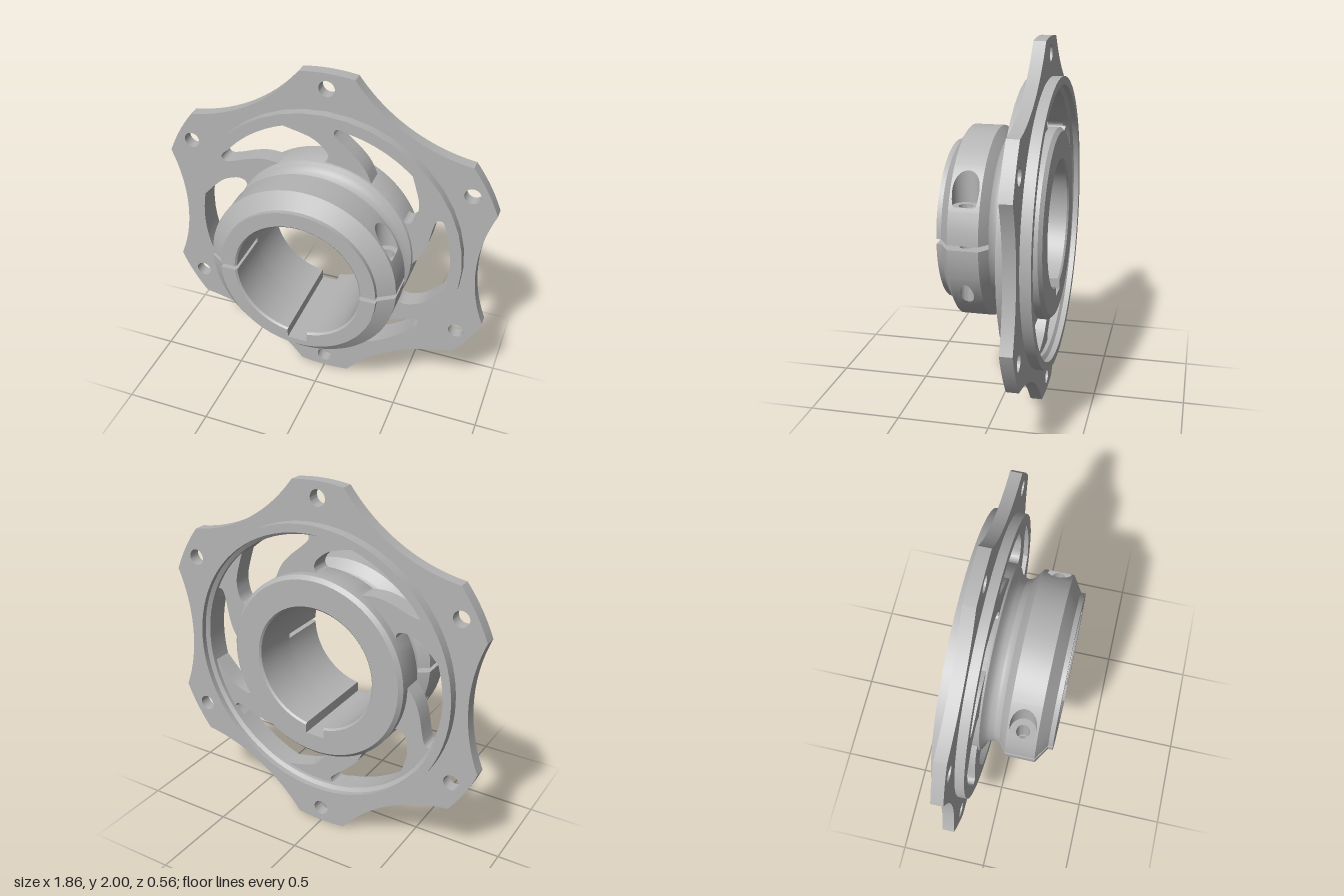
import * as THREE from 'three';
import { toCreasedNormals } from 'three/addons/utils/BufferGeometryUtils.js';

const RAD = Math.PI / 180;
const BORE = 0.345, KEY_X = 0.055, KEY_Y = 0.4, HUB_R = 0.52;
const SLIT = 0.013, BAND = [0.04, 0.2], PATCH = [20, 48];
const BOLT_X = 0.44, BOLT_Z = 0.12, FLOOR_Y = 0.2;

const v2 = (x, y) => new THREE.Vector2(x, y);

// angles in degrees, with extra stops at the keyway corners
function angleList(from, to) {
  const list = [];
  for (let a = from; a <= to; a += 4) list.push(a);
  const outer = Math.atan(KEY_X / KEY_Y) / RAD, inner = Math.asin(KEY_X / BORE) / RAD;
  for (const d of [outer, inner]) for (const s of [-1, 1]) {
    const a = 270 + s * d;
    if (a > from && a < to) list.push(a);
  }
  return list.sort((a, b) => a - b);
}

// radius of the bore, including the keyway at the bottom
function boreRadius(deg) {
  const d = Math.abs(deg - 270) * RAD;
  if (d > 1) return BORE;
  return Math.max(BORE, Math.min(KEY_Y / Math.cos(d), KEY_X / Math.max(Math.sin(d), 1e-6)));
}

// sweep a [radius, z] profile about z; half = +1 / -1 trims the ends to the slit
function sweep(profile, angles, half = 0) {
  const point = ([r, z], deg) => {
    const R = r < 0.37 ? Math.max(r, boreRadius(deg)) : r;
    let y = R * Math.sin(deg * RAD);
    if (half) y = half * Math.max(Math.abs(y), SLIT);
    return [R * Math.cos(deg * RAD), y, z];
  };
  const pos = [];
  for (let j = 0; j < angles.length - 1; j++) {
    const m = ((angles[j] + angles[j + 1]) / 2) % 180, fold = Math.min(m, 180 - m);
    for (let i = 0; i < profile.length - 1; i++) {
      const p = profile[i], q = profile[i + 1];
      const onBand = p[1] === BAND[0] && q[1] === BAND[1];
      if (half && onBand && fold > PATCH[0] && fold < PATCH[1]) continue;
      const a = point(p, angles[j]), b = point(p, angles[j + 1]);
      const c = point(q, angles[j + 1]), d = point(q, angles[j]);
      pos.push(...a, ...b, ...c, ...a, ...c, ...d);
    }
  }
  const g = new THREE.BufferGeometry();
  g.setAttribute('position', new THREE.Float32BufferAttribute(pos, 3));
  return toCreasedNormals(g, 0.5);
}

// wall between two loops of points
function wall(top, bottom) {
  const pos = [];
  top.forEach((a, i) => {
    const k = (i + 1) % top.length;
    pos.push(...a, ...top[k], ...bottom[k], ...a, ...bottom[k], ...bottom[i]);
  });
  const g = new THREE.BufferGeometry();
  g.setAttribute('position', new THREE.Float32BufferAttribute(pos, 3));
  return toCreasedNormals(g, 0.6);
}

// bolt circle in x, z, cut off at limit
function boltCircle(r, limit = 1) {
  return Array.from({ length: 28 }, (_, i) => {
    const a = (i + 0.5) / 28 * Math.PI * 2;
    return v2(Math.min(BOLT_X + r * Math.cos(a), limit), BOLT_Z + r * Math.sin(a));
  });
}

// curved piece of the clamp band with a bolt opening
function boltPatch(hole, sx, sy) {
  const edge = [];
  for (let a = PATCH[0]; a <= PATCH[1]; a += 4) edge.push(v2(a * RAD * HUB_R, BAND[0]));
  for (let a = PATCH[1]; a >= PATCH[0]; a -= 4) edge.push(v2(a * RAD * HUB_R, BAND[1]));
  const shape = new THREE.Shape(edge);
  shape.holes.push(new THREE.Path(hole.map(p => v2(Math.acos(p.x / HUB_R) * HUB_R, p.y))));
  const g = new THREE.ShapeGeometry(shape), P = g.attributes.position, N = g.attributes.normal;
  for (let i = 0; i < P.count; i++) {
    const t = P.getX(i) / HUB_R, z = P.getY(i), c = sx * Math.cos(t), s = sy * Math.sin(t);
    P.setXYZ(i, HUB_R * c, HUB_R * s, z);
    N.setXYZ(i, c * sx * sy, s * sx * sy, 0);
  }
  return g;
}

// flat shape in x, z laid at height y
function flatAt(points, holes, sx, y) {
  const shape = new THREE.Shape(points);
  holes.forEach(h => shape.holes.push(new THREE.Path(h)));
  const g = new THREE.ShapeGeometry(shape), P = g.attributes.position;
  for (let i = 0; i < P.count; i++) P.setXYZ(i, sx * P.getX(i), y, P.getY(i));
  g.computeVertexNormals();
  return g;
}

function plate(shape, z0, z1) {
  const g = new THREE.ExtrudeGeometry(shape, { depth: z1 - z0, bevelEnabled: false, curveSegments: 20 });
  return toCreasedNormals(g.translate(0, 0, z0), 0.5);
}

// outline of one swept window in the web
function windowPoints() {
  const p = new THREE.Path(), R = 0.725;
  p.moveTo(R * Math.cos(107.8 * RAD), R * Math.sin(107.8 * RAD));
  p.splineThru([v2(-0.07, 0.652), v2(0.005, 0.6), v2(0.03, 0.56), v2(0.024, 0.53), v2(0, 0.515)]);
  p.absarc(0, 0, 0.515, 90 * RAD, 118 * RAD, false);
  p.splineThru([v2(-0.33, 0.462), v2(-0.413, 0.447), v2(-0.52, 0.41), v2(-0.57, 0.4),
    v2(-0.59, 0.422), v2(-0.578, 0.447), v2(-0.549, 0.474)]);
  p.absarc(0, 0, R, 139.2 * RAD, 107.8 * RAD, true);
  const pts = p.getPoints(16);
  return pts.filter((q, i) => q.distanceTo(pts[(i + 1) % pts.length]) > 1e-4);
}

export function createModel() {
  const metal = new THREE.MeshStandardMaterial({ color: 0xb4b4b4, side: THREE.DoubleSide });
  metal.name = 'grey metal';
  const model = new THREE.Group();
  model.name = 'sprocketCarrier';
  const add = (name, geometry) => {
    const m = new THREE.Mesh(geometry, metal);
    m.name = name;
    model.add(m);
  };

  // scalloped flange with six bolt holes
  const outline = new THREE.Shape();
  const cx = 1.8, dx = cx - Math.cos(21.4 * RAD), dy = Math.sin(21.4 * RAD);
  const beta = Math.atan2(dy, dx), scallopR = Math.hypot(dx, dy);
  for (let k = 0; k < 6; k++) {
    const f = k * 60 * RAD;
    outline.absarc(cx * Math.cos(f), cx * Math.sin(f), scallopR, f + Math.PI + beta, f + Math.PI - beta, true);
    outline.absarc(0, 0, 1, f + 21.4 * RAD, f + 38.6 * RAD, false);
    const h = f + 30 * RAD;
    outline.holes.push(new THREE.Path().absarc(0.915 * Math.cos(h), 0.915 * Math.sin(h), 0.044, 0, Math.PI * 2));
  }
  outline.holes.push(new THREE.Path().absarc(0, 0, 0.76, 0, Math.PI * 2));
  add('scallopedFlange', plate(outline, -0.225, -0.16));

  // web: swept spokes between hub and rim
  const web = new THREE.Shape().absarc(0, 0, 0.79, 0, Math.PI * 2);
  web.holes.push(new THREE.Path().absarc(0, 0, 0.48, 0, Math.PI * 2));
  const win = windowPoints();
  for (let k = 0; k < 6; k++) {
    web.holes.push(new THREE.Path(win.map(p => p.clone().rotateAround(v2(0, 0), k * 60 * RAD))));
  }
  add('spokedWeb', plate(web, -0.215, -0.11));

  // raised rim behind the web
  const full = angleList(0, 360);
  add('rearRim', sweep([[0.725, -0.2], [0.725, -0.235], [0.745, -0.25], [0.745, -0.28], [0.79, -0.28], [0.79, -0.2]], full));

  // rear hub with a rounded neck
  add('rearHub', sweep([[0.355, -0.28], [0.5, -0.28], [HUB_R, -0.26], [HUB_R, -0.11], [0.515, -0.1],
    [0.5, -0.092], [0.475, -0.08], [0.457, -0.06], [0.45, -0.035], [0.454, -0.018], [0.467, 0],
    [BORE, 0], [BORE, -0.27], [0.355, -0.28]], full));

  // two clamp halves separated by a slit
  const clamp = [[0.467, 0], [0.492, 0.018], [HUB_R, BAND[0]], [HUB_R, BAND[1]], [0.435, 0.255],
    [0.435, 0.28], [0.355, 0.28], [BORE, 0.27], [BORE, 0]];
  const pocket = boltCircle(0.07, 0.48), bolt = boltCircle(0.036);
  const surfaceY = x => Math.sqrt(Math.max(0, HUB_R ** 2 - x ** 2));
  for (const half of [1, -1]) {
    const side = half > 0 ? 'upper' : 'lower';
    add(side + 'Clamp', sweep(clamp, half > 0 ? angleList(0, 180) : angleList(180, 360), half));
    for (const sx of [1, -1]) {
      const loop = (pts, y) => pts.map(p => [sx * p.x, half * y(p.x), p.y]);
      add(side + 'SlitFace', flatAt(clamp.map(p => v2(...p)), [bolt], sx, half * SLIT));
      add(side + 'BoltOpening', boltPatch(half > 0 ? pocket : bolt, sx, half));
      if (half > 0) {
        // counterbore for the screw head
        add('counterboreWall', wall(loop(pocket, surfaceY), loop(pocket, () => FLOOR_Y)));
        add('counterboreFloor', flatAt(pocket, [bolt], sx, FLOOR_Y));
      }
      add(side + 'BoltBore', wall(loop(bolt, half > 0 ? () => FLOOR_Y : surfaceY), loop(bolt, () => SLIT)));
    }
  }

  model.position.y = 1;
  const root = new THREE.Group();
  root.name = 'model';
  root.add(model);
  return root;
}
